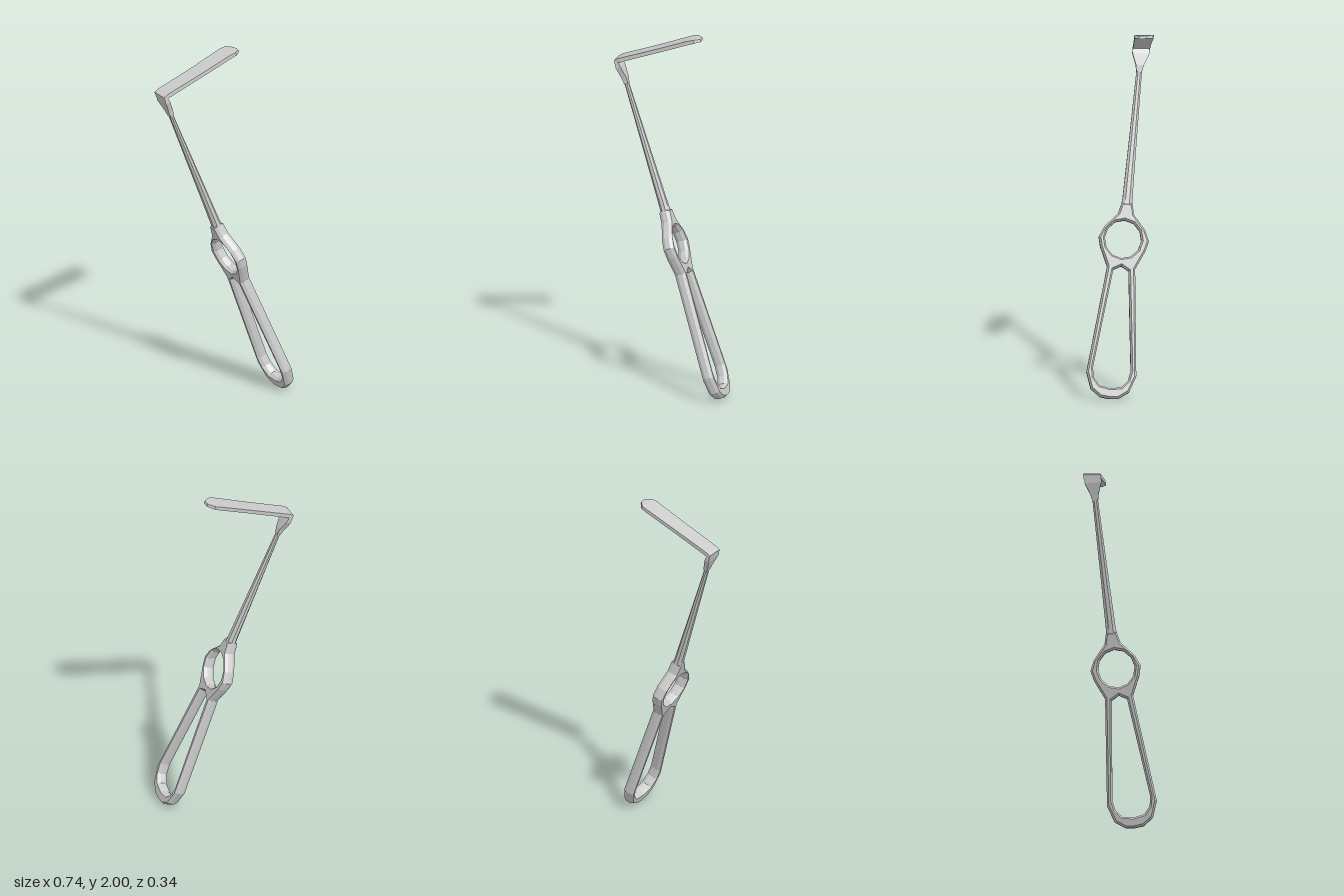
import * as THREE from 'three';

const V = (x, y, z) => new THREE.Vector3(x, y, z);
const material = new THREE.MeshStandardMaterial({ color: 0xcccccc, flatShading: true });

function addMesh(parent, name, geometry) {
  const mesh = new THREE.Mesh(geometry, material);
  mesh.name = name;
  parent.add(mesh);
}

// Skin a list of rings (counter-clockwise seen from the far end) and cap both ends
function loft(rings) {
  const n = rings[0].length, pos = [];
  const tri = (...pts) => pts.forEach((p) => pos.push(p.x, p.y, p.z));
  const centre = (ring) => ring.reduce((s, p) => s.add(p), V(0, 0, 0)).divideScalar(n);
  const first = rings[0], last = rings[rings.length - 1];
  const c0 = centre(first), c1 = centre(last);
  for (let i = 0; i < n; i++) {
    const j = (i + 1) % n;
    for (let k = 0; k < rings.length - 1; k++) {
      const a = rings[k], b = rings[k + 1];
      tri(a[i], a[j], b[j]);
      tri(a[i], b[j], b[i]);
    }
    tri(c0, first[j], first[i]);
    tri(c1, last[i], last[j]);
  }
  const g = new THREE.BufferGeometry();
  g.setAttribute('position', new THREE.Float32BufferAttribute(pos, 3));
  g.computeVertexNormals();
  return g;
}

export function createModel() {
  const model = new THREE.Group();
  model.name = 'retractor';

  // Leaning frame: x across the handle, y along its axis, z through its thickness
  const axis = V(-0.348, 0.937, -0.043).normalize();
  const across = V(0.19, 0.06, 0.98);
  across.addScaledVector(axis, -across.dot(axis)).normalize();
  const through = V(0, 0, 0).crossVectors(across, axis);
  const body = new THREE.Group();
  body.name = 'handleAndShaft';
  body.quaternion.setFromRotationMatrix(new THREE.Matrix4().makeBasis(across, axis, through));
  body.position.set(0.335, 0, 0.037);
  model.add(body);
  const along = (height) => height / axis.y;

  // Mirror half an outline, given as [half width, height] from bottom to top
  const mirrored = (half) => [
    ...half,
    ...half.filter(([u]) => u > 0).reverse().map(([u, h]) => [-u, h]),
  ].map(([u, h]) => new THREE.Vector2(u, along(h)));

  // Handle: grip loop and finger ring in one chamfered plate
  const outline = new THREE.Shape(mirrored([
    [0, 0.008], [0.05, 0.013], [0.105, 0.05], [0.137, 0.135], [0.077, 0.685],
    [0.125, 0.785], [0.138, 0.835], [0.112, 0.89], [0.045, 0.962], [0.029, 1.02],
  ]));
  const gripHole = mirrored([
    [0, 0.062], [0.06, 0.072], [0.094, 0.11], [0.104, 0.16], [0.042, 0.672], [0, 0.694],
  ]);
  const ringHole = [];
  for (let i = 0; i < 12; i++) {
    const a = (i / 12) * Math.PI * 2;
    ringHole.push(new THREE.Vector2(0.004 + 0.1 * Math.cos(a), along(0.833 + 0.098 * Math.sin(a))));
  }
  outline.holes.push(new THREE.Path(gripHole), new THREE.Path(ringHole));
  const depth = 0.026, bevel = 0.018;
  const plate = new THREE.ExtrudeGeometry(outline, {
    depth, bevelEnabled: true, bevelSegments: 1,
    bevelThickness: bevel, bevelSize: 0.01, bevelOffset: -0.01,
  });
  plate.translate(0, 0, -depth / 2);
  addMesh(body, 'handle', plate);

  // Stations: [height, half width, half thickness, offset through the thickness]
  const stations = (list, sides) => loft(list.map(([h, w, t, off = 0]) =>
    Array.from({ length: sides }, (_, i) => {
      const a = ((i + 0.5) / sides) * Math.PI * 2, k = 1 / Math.cos(Math.PI / sides);
      return V(w * k * Math.cos(a), along(h), off - t * k * Math.sin(a));
    })));

  // Shaft tapering upwards from the ring
  addMesh(body, 'shaft', stations([
    [0.95, 0.04, 0.026], [1.04, 0.027, 0.024], [1.35, 0.021, 0.018], [1.72, 0.015, 0.011],
  ], 8));

  // Flared head carrying the blade
  addMesh(body, 'head', stations([
    [1.7, 0.015, 0.011], [1.735, 0.022, 0.014], [1.795, 0.046, 0.014, 0.006], [1.83, 0.046, 0.009, 0.008],
  ], 4));

  // Flat blade with a levelled, narrowed tip: [centre, half width, half thickness]
  const side = V(0.2, 0, 0.98);
  const blade = [
    [V(-0.36, 1.822, -0.046), 0.047, 0.012],
    [V(-0.338, 1.837, -0.05), 0.047, 0.011],
    [V(-0.12, 1.915, -0.086), 0.049, 0.01],
    [V(0.055, 1.98, -0.118), 0.053, 0.01],
    [V(0.09, 1.99, -0.122), 0.051, 0.009],
    [V(0.122, 1.993, -0.121), 0.02, 0.007],
  ].map(([c, w, t]) => [[-w, -t], [-w, t], [w, t], [w, -t]].map(([u, v]) =>
    c.clone().addScaledVector(side, u).add(V(-0.35 * v, v, 0))));
  addMesh(model, 'blade', loft(blade));

  return model;
}
